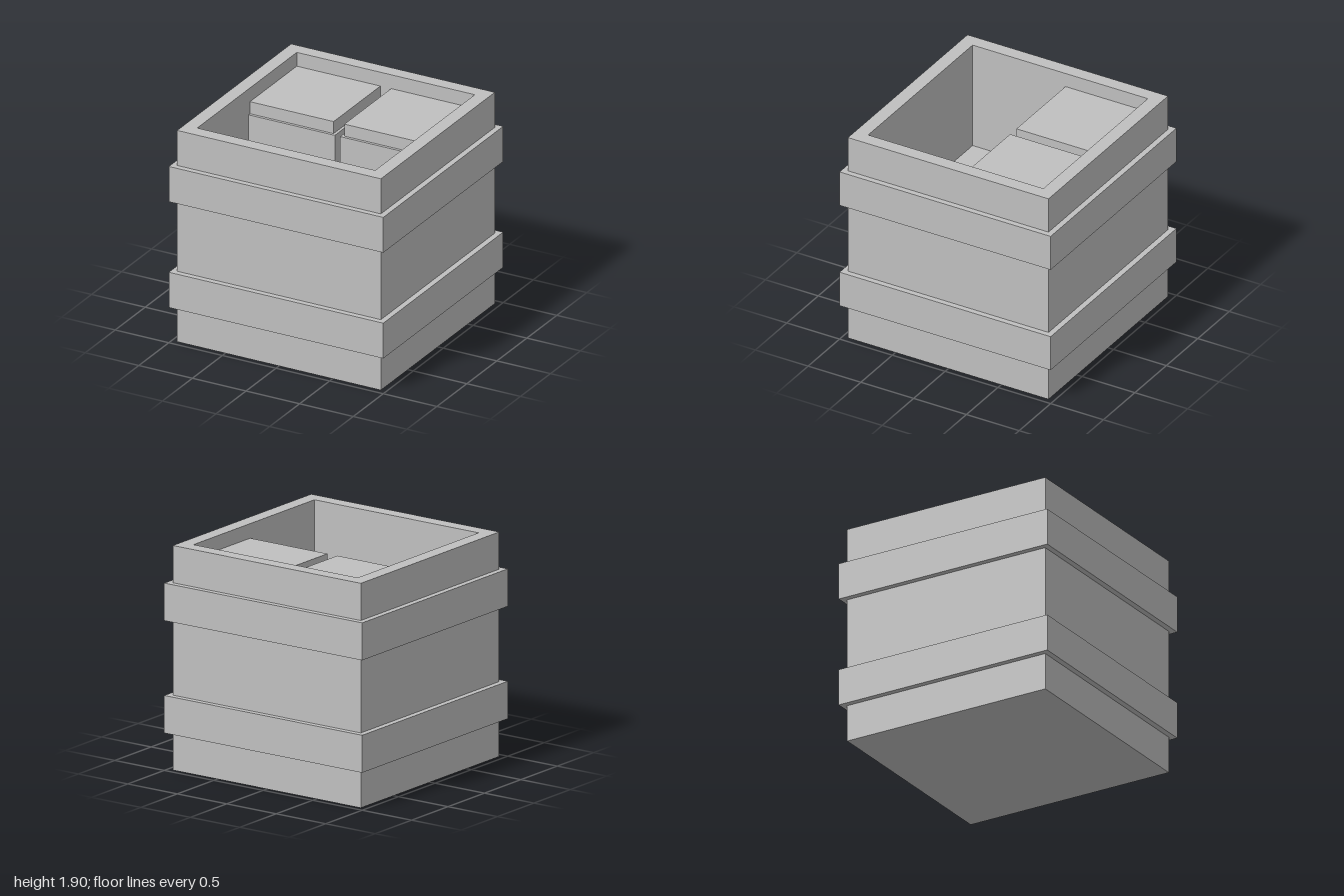
import * as THREE from 'three';

const WALL = 0.95, INNER = 0.83, HEIGHT = 1.9, FLOOR = 0.12;

// Square ring standing on y, with the given half widths
function squareRing(outer, inner, height, y) {
  const square = (Base, h) => new Base([
    new THREE.Vector2(-h, -h), new THREE.Vector2(h, -h),
    new THREE.Vector2(h, h), new THREE.Vector2(-h, h),
  ]);
  const shape = square(THREE.Shape, outer);
  shape.holes.push(square(THREE.Path, inner));
  return new THREE.ExtrudeGeometry(shape, { depth: height, bevelEnabled: false })
    .rotateX(-Math.PI / 2).translate(0, y, 0);
}

export function createModel() {
  const group = new THREE.Group();
  group.name = 'crate';
  const grey = new THREE.MeshStandardMaterial({ color: 0xc0c0c0 });
  grey.name = 'grey';

  const add = (name, geometry, parent = group) => {
    const mesh = new THREE.Mesh(geometry, grey);
    mesh.name = name;
    parent.add(mesh);
    return mesh;
  };

  // Open crate: walls and floor
  add('walls', squareRing(WALL, INNER, HEIGHT, 0));
  add('floor', new THREE.BoxGeometry(INNER * 2, FLOOR, INNER * 2).translate(0, FLOOR / 2, 0));

  // Two raised bands around the outside
  add('lowerBand', squareRing(1, WALL, 0.317, 0.317));
  add('upperBand', squareRing(1, WALL, 0.317, 1.268));

  // Lidded boxes inside: two layers at the back, one at the front
  const bodyHeight = 0.72, lidHeight = 0.108, layer = bodyHeight + lidHeight;
  const block = (gap, height, y) => {
    const size = INNER - gap;
    return new THREE.BoxGeometry(size, height, size).translate(0, y + height / 2, 0);
  };
  for (const sx of [-1, 1]) {
    for (const sz of [-1, 1]) {
      const layers = sz < 0 ? 2 : 1;
      for (let i = 0; i < layers; i++) {
        const box = new THREE.Group();
        box.name = 'innerBox';
        box.position.y = FLOOR + i * layer;
        group.add(box);
        for (const [name, gap, height, y] of [
          ['boxBody', 0.025, bodyHeight, 0],
          ['boxLid', 0.05, lidHeight, bodyHeight],
        ]) {
          const centre = (INNER + gap) / 2;
          add(name, block(gap, height, y), box).position.set(sx * centre, 0, sz * centre);
        }
      }
    }
  }
  return group;
}
